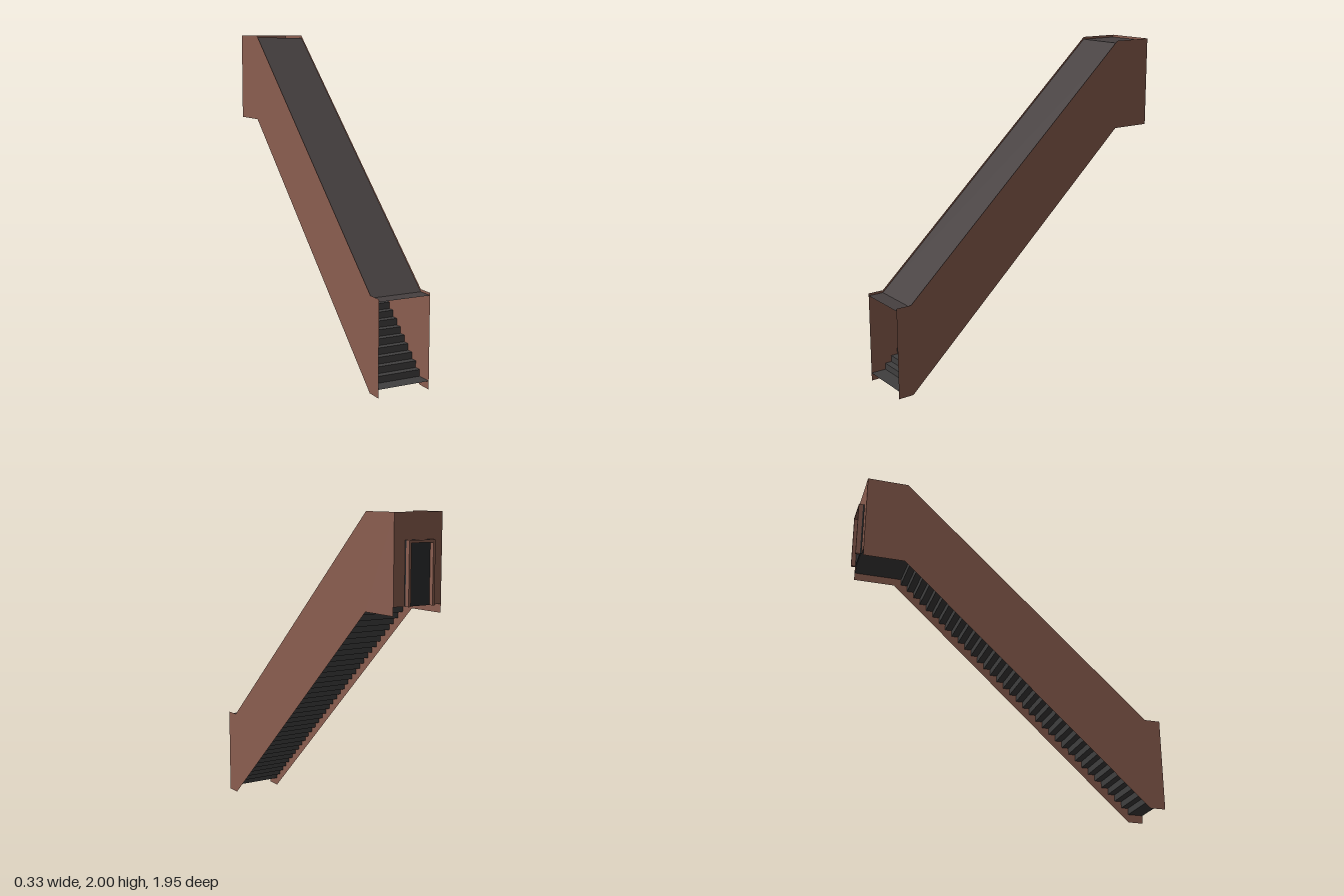
import * as THREE from 'three';

const HALF = 0.165;                       // half width of the stairway
const FRONT = 0.977, FOOT = 0.88, HEAD = -0.68, BACK = -0.94;
const FLOOR = 0.05, RISE = 1.44, STEPS = 36;

const material = (color) => new THREE.MeshStandardMaterial({
  color, side: THREE.DoubleSide, flatShading: true,
});

// Thin sheet spanning the width, following a [z, y] path
function sheet(path) {
  const pos = [], index = [];
  path.forEach(([z, y], i) => {
    pos.push(-HALF, y, z, HALF, y, z);
    if (i > 0) {
      const a = 2 * (i - 1);
      index.push(a, a + 1, a + 3, a, a + 3, a + 2);
    }
  });
  const g = new THREE.BufferGeometry();
  g.setAttribute('position', new THREE.Float32BufferAttribute(pos, 3));
  g.setIndex(index);
  const flat = g.toNonIndexed();
  flat.computeVertexNormals();
  return flat;
}

export function createModel() {
  const group = new THREE.Group();
  const brick = material(0x8b5e50);
  const roofMat = material(0x464040);
  const stepMat = material(0x403f3f);
  const doorMat = material(0x2c2e30);

  const add = (name, geometry, mat, x = 0, y = 0, z = 0) => {
    const mesh = new THREE.Mesh(geometry, mat);
    mesh.name = name;
    mesh.position.set(x, y, z);
    group.add(mesh);
  };

  // Side walls
  const outline = new THREE.Shape([
    [FRONT, 0], [FRONT, 0.565], [FOOT, 0.565], [HEAD, 2], [BACK, 2],
    [BACK, RISE], [HEAD, RISE], [FOOT, 0],
  ].map(([z, y]) => new THREE.Vector2(z, y)));
  const wall = new THREE.ShapeGeometry(outline).rotateY(-Math.PI / 2);
  add('leftWall', wall, brick, HALF);
  add('rightWall', wall, brick, -HALF);

  // Roof, set just below the wall tops
  add('roof', sheet([[FRONT, 0.55], [FOOT, 0.55], [HEAD, 1.985], [BACK, 1.985]]), roofMat);

  // Lower landing, steps and upper landing as one folded sheet
  const path = [[FRONT, FLOOR]];
  for (let i = 0; i < STEPS; i++) {
    const z = FOOT + (HEAD - FOOT) * i / STEPS;
    path.push([z, FLOOR + RISE * i / STEPS], [z, FLOOR + RISE * (i + 1) / STEPS]);
  }
  path.push([BACK, FLOOR + RISE]);
  add('stairs', sheet(path), stepMat);

  // Back wall
  const sill = FLOOR + RISE;
  add('backWall', sheet([[BACK, sill], [BACK, 2]]), brick);

  // Door panel and its projecting frame
  const doorH = 0.36, doorW = 0.18, jamb = 0.015, depth = 0.027;
  add('door', new THREE.BoxGeometry(doorW, doorH, 0.01), doorMat, 0, sill + doorH / 2, BACK - 0.005);
  const frameZ = BACK - 0.01 - depth / 2;
  for (const s of [-1, 1]) {
    add(s > 0 ? 'leftDoorJamb' : 'rightDoorJamb', new THREE.BoxGeometry(jamb, doorH, depth),
      brick, s * (doorW - jamb) / 2, sill + doorH / 2, frameZ);
  }
  add('doorHeader', new THREE.BoxGeometry(doorW - 2 * jamb, jamb, depth),
    brick, 0, sill + doorH - jamb / 2, frameZ);

  return group;
}
